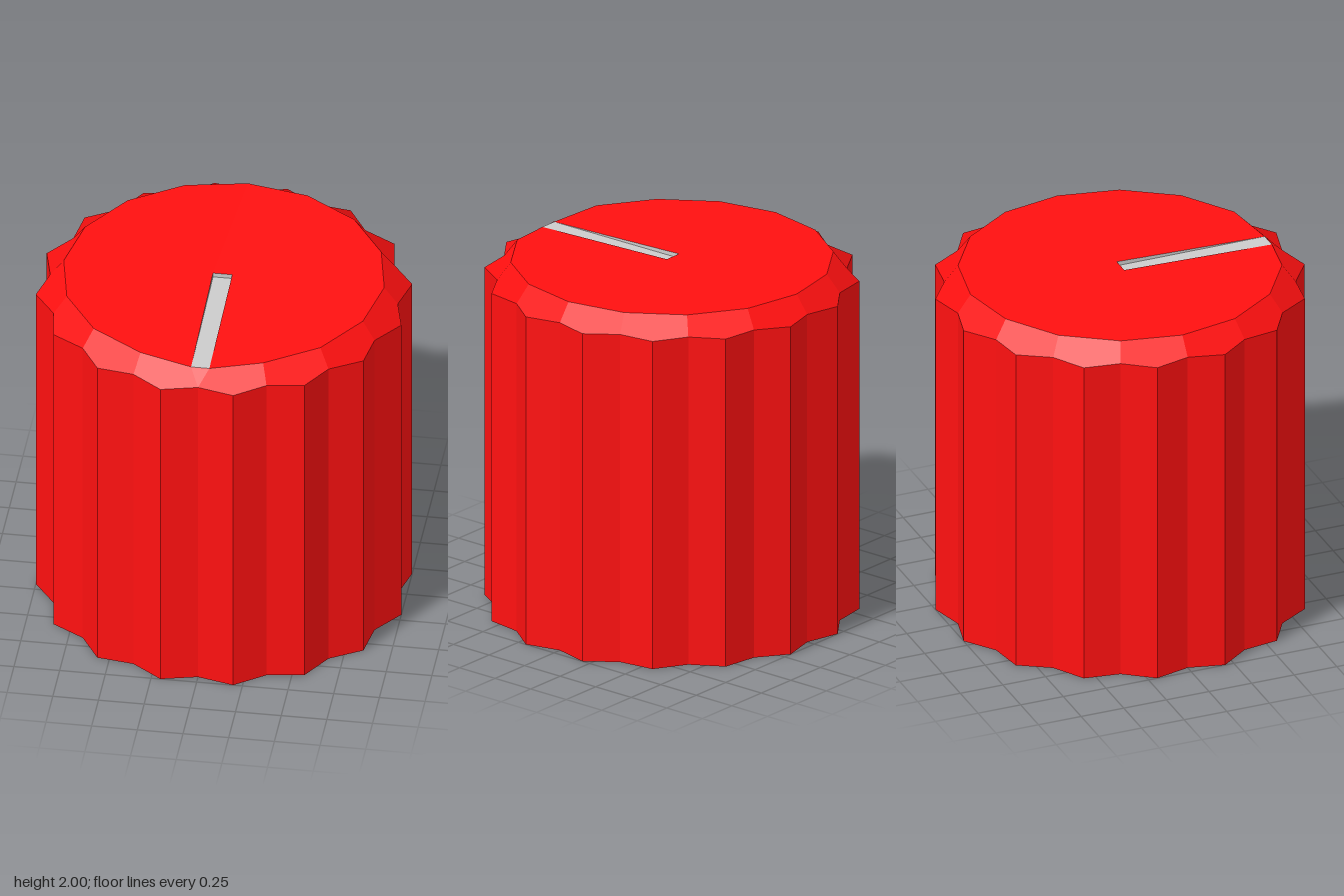
import * as THREE from 'three';

const SIDES = 16, SHOULDER = 1.9, TOP = 2, SLOT = 1.975;

// Point at step k of 16 around the knob, starting at the front
function ring(k, radius, y) {
  const a = (k / SIDES) * Math.PI * 2;
  return new THREE.Vector3(radius * Math.sin(a), y, radius * Math.cos(a));
}

// Mesh from flat-shaded polygons, each a fan around its first corner
function polyMesh(name, faces, material) {
  const pos = [], nor = [];
  for (const f of faces) {
    const n = new THREE.Vector3();
    f.forEach((p, i) => n.add(p.clone().cross(f[(i + 1) % f.length])));
    n.normalize();
    for (let i = 1; i < f.length - 1; i++) {
      for (const p of [f[0], f[i], f[i + 1]]) {
        pos.push(p.x, p.y, p.z);
        nor.push(n.x, n.y, n.z);
      }
    }
  }
  const g = new THREE.BufferGeometry();
  g.setAttribute('position', new THREE.Float32BufferAttribute(pos, 3));
  g.setAttribute('normal', new THREE.Float32BufferAttribute(nor, 3));
  const mesh = new THREE.Mesh(g, material);
  mesh.name = name;
  return mesh;
}

export function createModel() {
  const red = new THREE.MeshStandardMaterial({ color: 0xff1010 });
  const grey = new THREE.MeshStandardMaterial({ color: 0xcccccc });
  const v = (x, y, z) => new THREE.Vector3(x, y, z);

  const groove = (k, y) => ring(k, 0.951, y);
  const ridge = (k, y) => ring(k + 0.5, 1.0196, y);
  const rim = (k) => ring(k, 0.877, TOP);

  // Corners of the pointer slot
  const frontR = v(0.05, SLOT, 0.87), frontL = v(-0.05, SLOT, 0.87);
  const backR = v(0.045, TOP, 0), backL = v(-0.06, TOP, 0);
  const floorR = v(0.045, SLOT, 0), floorL = v(-0.06, SLOT, 0);

  const walls = [], base = [], bevel = [];
  const centre = v(0, 0, 0);
  for (let k = 0; k < SIDES; k++) {
    // Two wall panels per ridge
    for (const [p, q] of [
      [(y) => groove(k, y), (y) => ridge(k, y)],
      [(y) => ridge(k, y), (y) => groove(k + 1, y)],
    ]) {
      walls.push([p(0), q(0), q(SHOULDER), p(SHOULDER)]);
      base.push([centre, q(0), p(0)]);
    }
    // Bevel facet with the ridge tip, dipping to the slot at the front
    bevel.push([
      groove(k, SHOULDER), ridge(k, SHOULDER), groove(k + 1, SHOULDER),
      k === SIDES - 1 ? frontL : rim(k + 1),
      k === 0 ? frontR : rim(k),
    ]);
  }
  bevel.push([groove(0, SHOULDER), frontR, frontL]);

  // Top face in two halves around the slot
  const right = [backR, frontR], left = [backL];
  for (let k = 1; k <= 8; k++) right.push(rim(k));
  for (let k = 8; k < SIDES; k++) left.push(rim(k));
  left.push(frontL);
  const top = [right, left, [backR, rim(8), backL]];

  // Slot: floor, end wall and tapering sides
  const slot = [
    [floorL, frontL, frontR, floorR],
    [floorL, floorR, backR, backL],
    [floorR, frontR, backR],
    [floorL, backL, frontL],
  ];

  const knob = new THREE.Group();
  knob.name = 'knob';
  knob.add(
    polyMesh('flutedWall', walls, red),
    polyMesh('base', base, red),
    polyMesh('bevel', bevel, red),
    polyMesh('topFace', top, red),
    polyMesh('pointerSlot', slot, grey),
  );
  return knob;
}
